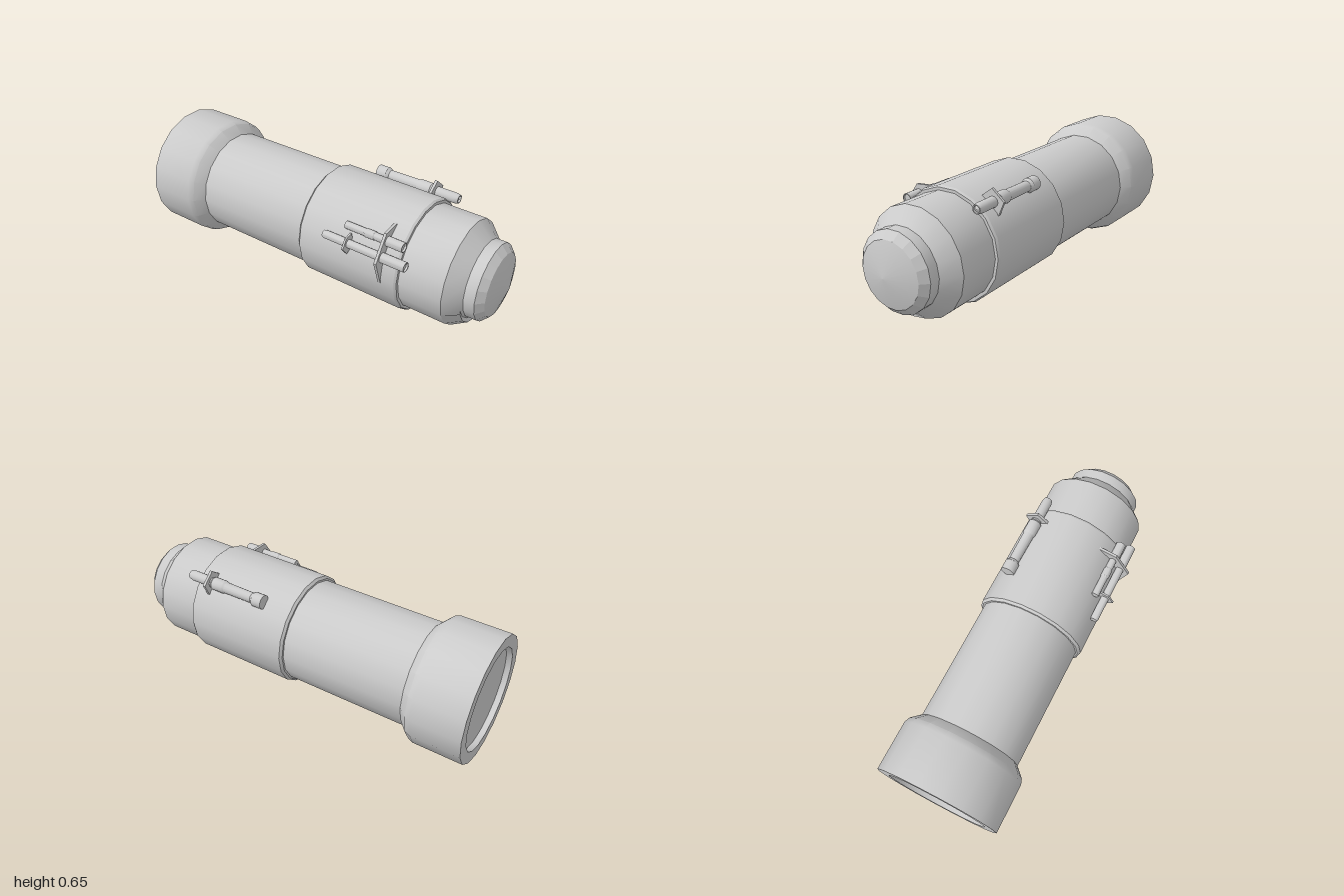
import * as THREE from 'three';
import { toCreasedNormals } from 'three/addons/utils/BufferGeometryUtils.js';

const CX = 0.004, CY = 0.325; // main axis
const RAD = Math.PI / 180;

export function createModel() {
  const model = new THREE.Group();
  const grey = new THREE.MeshStandardMaterial({ color: 0xcccccc, side: THREE.DoubleSide });
  const faceted = new THREE.MeshStandardMaterial({ color: 0xcccccc, side: THREE.DoubleSide, flatShading: true });

  function add(name, geometry, material = grey) {
    const mesh = new THREE.Mesh(geometry, material);
    mesh.name = name;
    model.add(mesh);
    return mesh;
  }

  // Turned part along z; profile is [radius, z] from back to front
  function turned(name, profile, x, y, sides = 18, material = grey, start = 90 * RAD, sweep = Math.PI * 2) {
    const points = profile.map(([r, z]) => new THREE.Vector2(r, z));
    const geometry = new THREE.LatheGeometry(points, sides, start, sweep);
    geometry.rotateX(Math.PI / 2);
    return add(name, toCreasedNormals(geometry, 0.5), material).position.set(x, y, 0);
  }

  // Flat bracket cut from sheet, outline in x and y
  function bracket(name, outline, z, thickness = 0.014) {
    const shape = new THREE.Shape(outline.map(([x, y]) => new THREE.Vector2(x, y)));
    const geometry = new THREE.ExtrudeGeometry(shape, { depth: thickness, bevelEnabled: false });
    add(name, geometry, faceted).position.z = z;
  }

  // Main tube with recessed rear face, flared rear, collar and chamfered front
  turned('body', [
    [0, -0.97], [0.265, -0.97], [0.265, -1], [0.329, -1],
    [0.329, -0.745], [0.318, -0.715], [0.271, -0.67],
    [0.271, -0.012], [0.281, -0.012], [0.293, 0],
    [0.293, 0.552], [0.286, 0.564], [0.271, 0.564],
    [0.271, 0.79], [0.198, 0.865], [0.198, 0.92],
  ], CX, CY);

  // Nose: faceted rim and shallow cone
  turned('noseRim', [[0.198, 0.92], [0.162, 0.955]], CX, CY, 18, faceted);
  turned('noseCone', [[0.162, 0.955], [0, 1]], CX, CY);

  // Raised lip on the lower part of the front chamfer
  turned('frontLip', [[0.271, 0.79], [0.226, 0.865], [0.198, 0.85]],
    CX, CY, 4, grey, -70 * RAD, 80 * RAD);

  // Single lamp on the left shoulder
  turned('lamp', [
    [0, 0.145], [0.037, 0.145], [0.037, 0.2], [0.027, 0.215],
    [0.029, 0.38], [0.034, 0.39], [0.034, 0.455], [0.027, 0.465],
    [0.027, 0.59], [0.022, 0.61], [0.017, 0.61], [0.017, 0.598], [0, 0.608],
  ], 0.208, 0.561, 16);
  bracket('lampBracket', [[0.145, 0.58], [0.18, 0.5], [0.238, 0.5], [0.268, 0.568], [0.202, 0.625]], 0.472);

  // Pair of rods on the right shoulder sharing one bracket
  turned('upperRod', [
    [0, 0.25], [0.019, 0.25], [0.019, 0.36], [0.022, 0.365], [0.022, 0.41],
    [0.019, 0.415], [0.019, 0.47], [0.025, 0.47], [0.025, 0.57],
    [0.021, 0.57], [0.021, 0.56], [0, 0.56],
  ], -0.237, 0.514, 16);
  turned('lowerRod', [
    [0, 0.15], [0.018, 0.15], [0.021, 0.16], [0.021, 0.47], [0.025, 0.47],
    [0.025, 0.61], [0.021, 0.61], [0.021, 0.6], [0, 0.6],
  ], -0.283, 0.448, 16);
  bracket('rodBracket', [[-0.145, 0.57], [-0.25, 0.562], [-0.333, 0.437], [-0.288, 0.3], [-0.24, 0.42]], 0.468);
  bracket('rearRodBracket', [[-0.255, 0.49], [-0.3, 0.483], [-0.33, 0.437], [-0.295, 0.395], [-0.24, 0.42]], 0.284, 0.01);

  return model;
}
